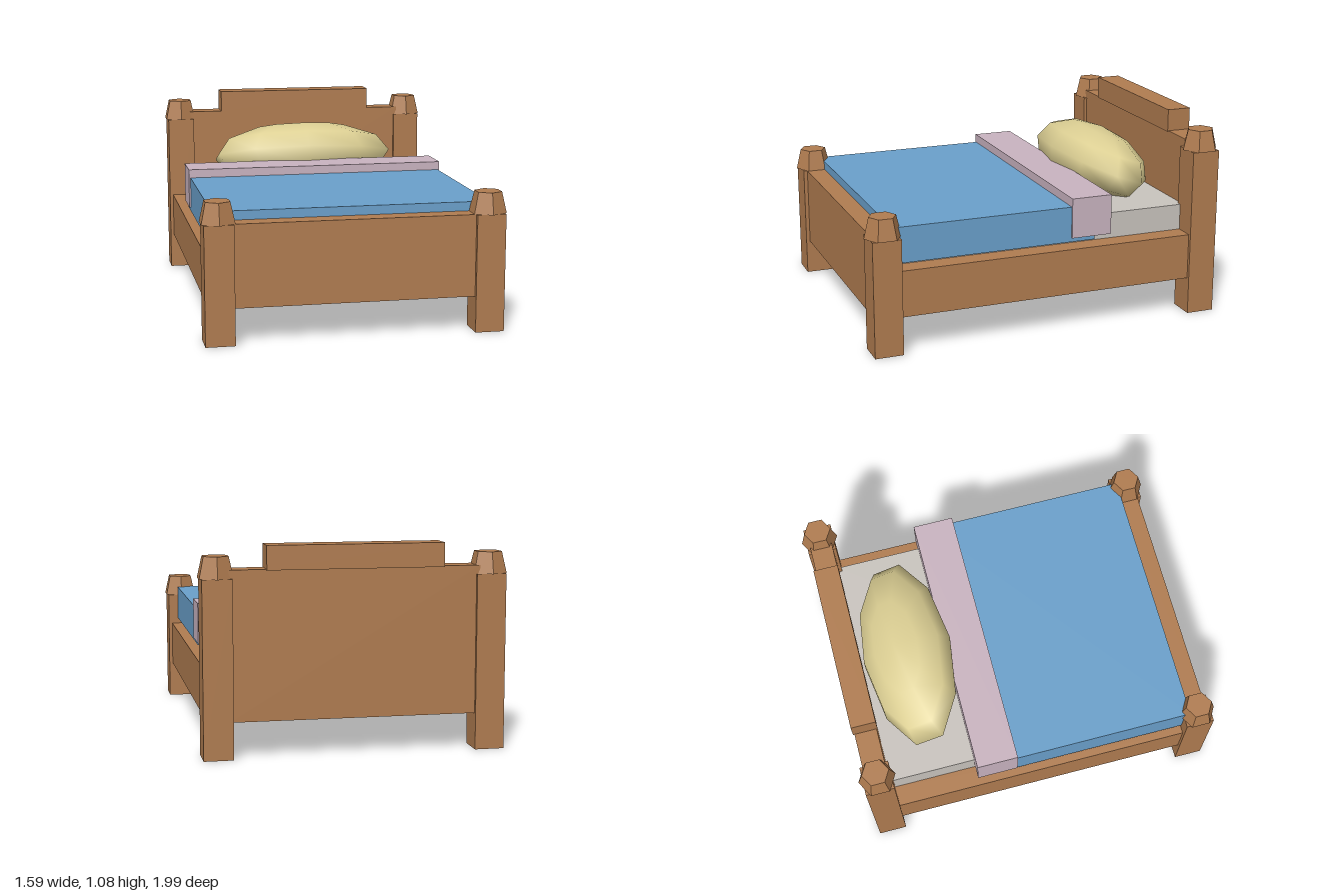
import * as THREE from 'three';

const mat = (name, color) => {
  const m = new THREE.MeshStandardMaterial({ color });
  m.name = name;
  return m;
};

export function createModel() {
  const bed = new THREE.Group();
  bed.name = 'bed';

  const wood = mat('wood', 0xb07c50);
  const blue = mat('blanketBlue', 0x6aa0cb);
  const pink = mat('sheetPink', 0xc9b3c0);
  const grey = mat('mattressGrey', 0xc9c4be);
  const cream = mat('pillowCream', 0xddd094);

  const add = (name, geometry, material) => {
    const mesh = new THREE.Mesh(geometry, material);
    mesh.name = name;
    bed.add(mesh);
    return mesh;
  };

  // Box given by its limits on each axis
  const box = (name, material, [x0, x1], [y0, y1], [z0, z1]) =>
    add(name, new THREE.BoxGeometry(x1 - x0, y1 - y0, z1 - z0), material)
      .position.set((x0 + x1) / 2, (y0 + y1) / 2, (z0 + z1) / 2);

  // Tapered six-sided post cap with hard edges
  const capGeometry = new THREE.CylinderGeometry(0.073, 0.1, 0.112, 6).toNonIndexed();
  capGeometry.computeVertexNormals();

  // Corner posts with caps, and side rails
  for (const side of [1, -1]) {
    const s = side > 0 ? 'left' : 'right';
    for (const [end, z, height] of [['Front', 0.897, 0.625], ['Back', -0.897, 0.915]]) {
      const x = side * 0.707;
      box(`${s}${end}Post`, wood, [x - 0.077, x + 0.077], [0, height], [z - 0.077, z + 0.077]);
      add(`${s}${end}PostCap`, capGeometry, wood).position.set(x, height + 0.056, z);
    }
    box(`${s}SideRail`, wood, [side * 0.71 - 0.055, side * 0.71 + 0.055], [0.2, 0.45], [-0.85, 0.86]);
  }

  // End boards
  box('footboard', wood, [-0.65, 0.65], [0.19, 0.625], [0.85, 0.953]);
  box('headboard', wood, [-0.65, 0.65], [0.19, 0.96], [-0.957, -0.837]);
  box('headboardCrest', wood, [-0.458, 0.458], [0.955, 1.08], [-0.965, -0.832]);

  // Bedding
  box('mattress', grey, [-0.655, 0.655], [0.37, 0.592], [-0.838, 0.851]);
  box('blanket', blue, [-0.728, 0.728], [0.48, 0.673], [-0.27, 0.851]);
  box('foldedSheet', pink, [-0.737, 0.737], [0.502, 0.72], [-0.363, -0.137]);

  // Plump pillow, tipped up at its front edge
  const pillow = add('pillow', new THREE.SphereGeometry(1, 10, 6, Math.PI / 10), cream);
  pillow.scale.set(0.547, 0.195, 0.262);
  pillow.rotation.x = -0.35;
  pillow.position.set(0, 0.717, -0.576);

  return bed;
}
